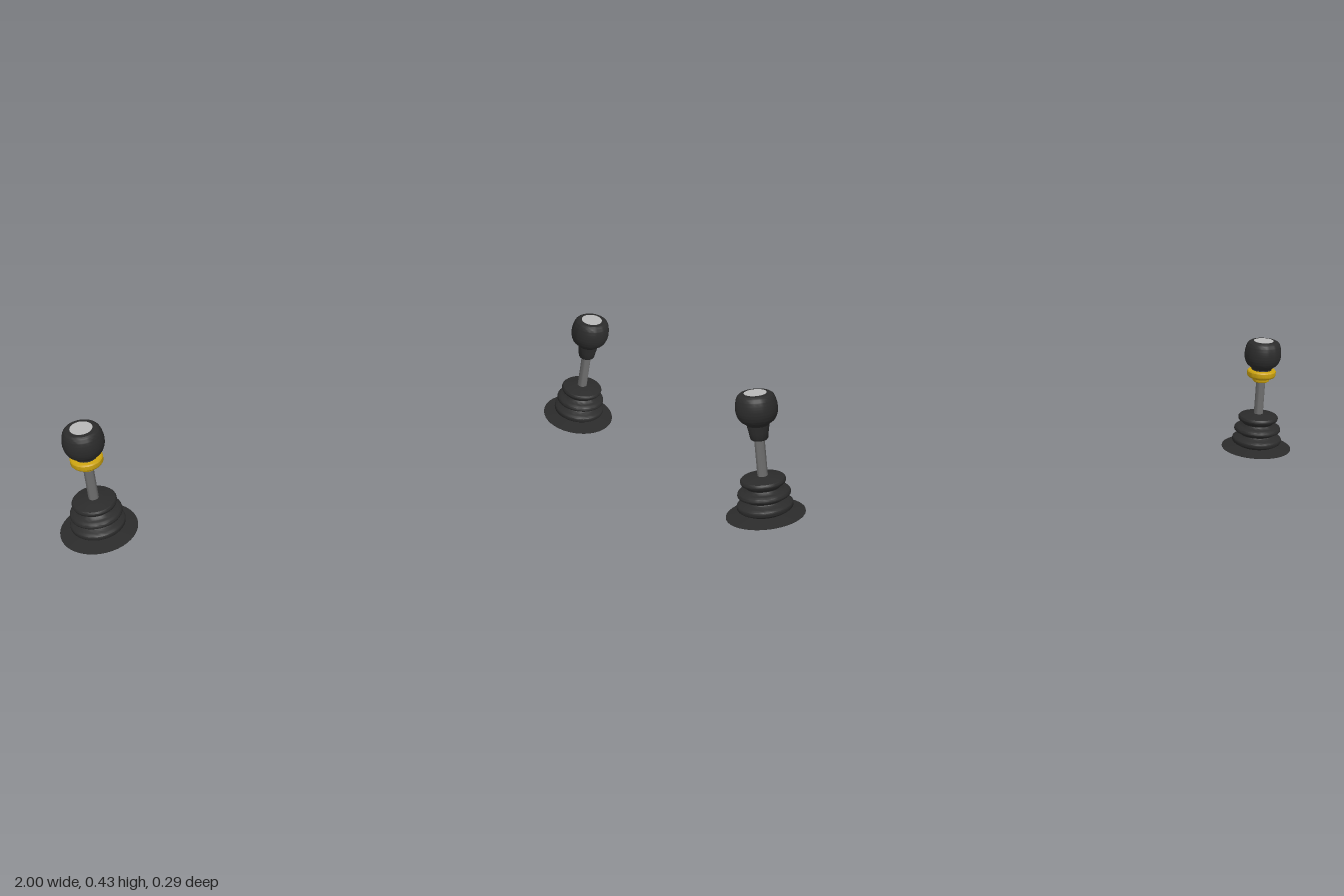
import * as THREE from 'three';
import { toCreasedNormals } from 'three/addons/utils/BufferGeometryUtils.js';

const mat = (name, color) => {
  const m = new THREE.MeshStandardMaterial({ color });
  m.name = name;
  return m;
};

const v = ([r, y]) => new THREE.Vector2(r, y);

// Turned part: profile of [radius, height] pairs, listed bottom to top
function turned(name, profile, material, smooth = 0) {
  let pts = profile.map(v);
  if (smooth) pts = new THREE.SplineCurve(pts).getPoints(smooth);
  const geo = toCreasedNormals(new THREE.LatheGeometry(pts, 40), 0.6);
  const mesh = new THREE.Mesh(geo, material);
  mesh.name = name;
  return mesh;
}

export function createModel() {
  const rubber = mat('black rubber', 0x2b2b2b);
  const steel = mat('grey steel', 0x6c6c6c);
  const yellow = mat('yellow collar', 0xcca310);
  const silver = mat('silver cap', 0xb8b8b8);

  // One lever; the collared one has a yellow ring instead of a tapered neck
  function lever(name, x, z, bottom, collared) {
    const g = new THREE.Group();
    g.name = name;
    g.position.set(x, 0, z);

    g.add(turned('baseSocket', [[0, bottom], [0.051, bottom], [0.053, 0.034]], rubber));

    // thin, slightly conical mounting flange
    g.add(turned('flange', [[0.05, 0.026], [0.123, 0.0265], [0.123, 0.0275], [0.055, 0.037]], rubber));

    // three-fold rubber bellows
    g.add(turned('bellows', [
      [0.058, 0.035], [0.068, 0.039], [0.084, 0.049], [0.087, 0.058], [0.084, 0.066],
      [0.066, 0.074], [0.059, 0.079], [0.065, 0.085], [0.079, 0.092], [0.082, 0.098],
      [0.078, 0.107], [0.06, 0.114], [0.053, 0.12], [0.058, 0.126], [0.068, 0.134],
      [0.070, 0.143], [0.066, 0.149]], rubber, 64));
    g.add(turned('bellowsTop', [[0.066, 0.149], [0.04, 0.154], [0.024, 0.157], [0, 0.157]], rubber));

    g.add(turned('shaft', [[0.016, 0.15], [0.016, 0.29]], steel));

    // rounded knob with a flat top
    g.add(turned('knob', [
      [0.034, 0.325], [0.041, 0.332], [0.052, 0.341], [0.058, 0.351], [0.062, 0.363],
      [0.0635, 0.376], [0.0625, 0.392], [0.059, 0.408], [0.054, 0.419], [0.046, 0.425]], rubber, 36));
    g.add(turned('knobTop', [[0.046, 0.425], [0.038, 0.426], [0, 0.426]], rubber));
    g.add(turned('knobCap', [[0.034, 0.426], [0.034, 0.4268], [0, 0.4268]], silver));

    if (collared) {
      g.add(turned('knobNeck', [[0.036, 0.318], [0.034, 0.326]], rubber));
      g.add(turned('collarRing', [
        [0, 0.277], [0.024, 0.277], [0.029, 0.281], [0.030, 0.289], [0.038, 0.292],
        [0.046, 0.296], [0.050, 0.302], [0.050, 0.316], [0.047, 0.320], [0.034, 0.322]], yellow));
    } else {
      g.add(turned('knobNeck', [
        [0, 0.277], [0.024, 0.277], [0.027, 0.281], [0.030, 0.301], [0.033, 0.318], [0.034, 0.326]], rubber));
    }
    return g;
  }

  const model = new THREE.Group();
  model.name = 'controlLevers';
  model.add(lever('leftLever', 0.877, -0.02, 0.003, false));
  model.add(lever('rightLever', -0.877, 0.02, 0, true));
  return model;
}
